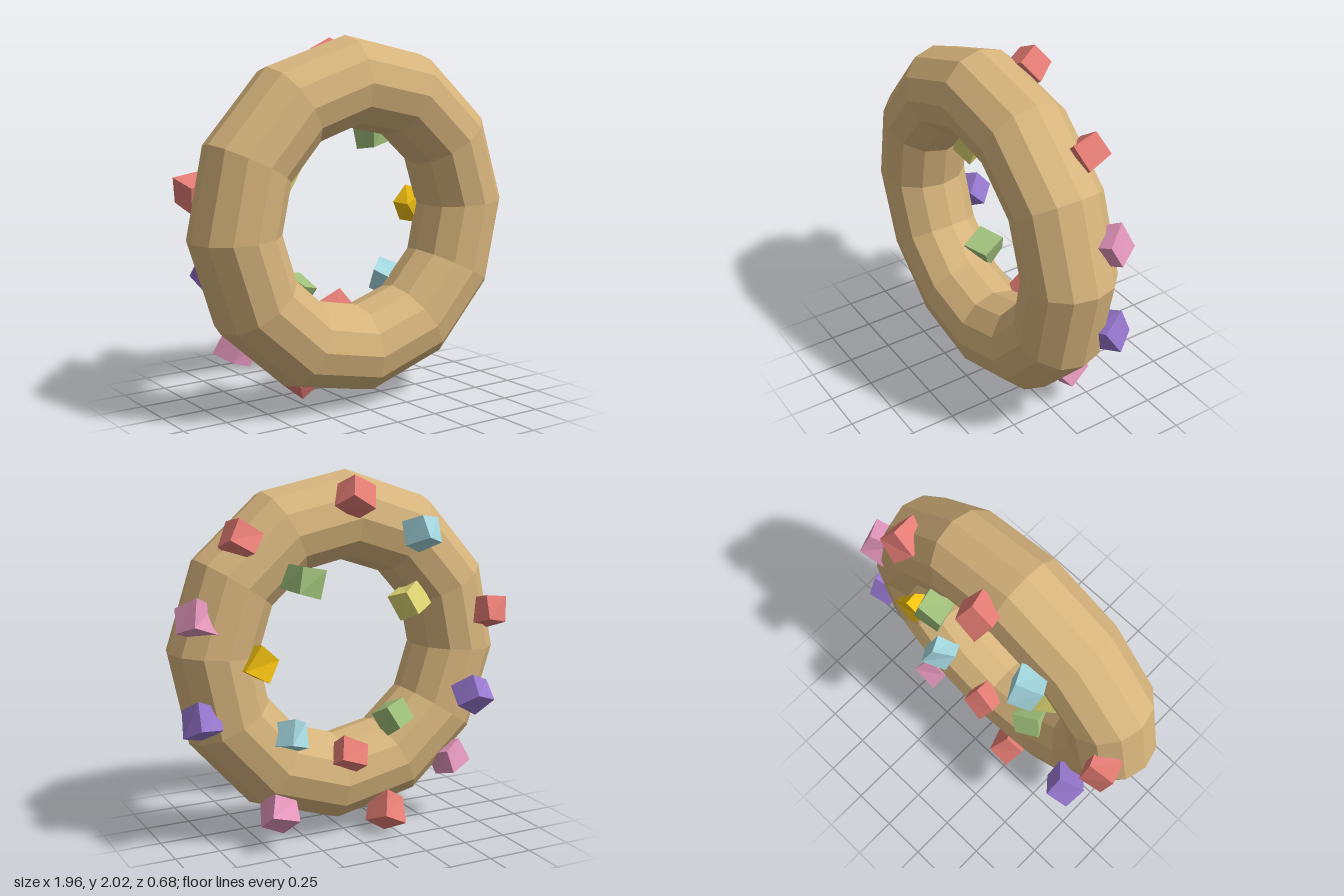
import * as THREE from 'three';

const COLORS = {
  dough: 0xd6b47c, red: 0xe47c74, pink: 0xe296bb, green: 0x9fc07a,
  cyan: 0xa4d8e0, yellow: 0xe2da74, gold: 0xf2c010, purple: 0x9878d0,
};
const materials = {};
for (const [name, color] of Object.entries(COLORS)) {
  materials[name] = new THREE.MeshStandardMaterial({ color, flatShading: true });
}

// Repeatable value from -1 to 1
let seed = 11;
function wobble() {
  seed = (seed * 16807) % 2147483647;
  return (seed / 2147483647) * 2 - 1;
}

// Slightly uneven cube: every corner is nudged, shared by its three faces
function sprinkleGeometry(size) {
  const geo = new THREE.BoxGeometry(size, size, size);
  const pos = geo.attributes.position;
  const nudges = Array.from({ length: 8 }, () => [wobble(), wobble(), wobble()]);
  for (let i = 0; i < pos.count; i++) {
    const x = pos.getX(i), y = pos.getY(i), z = pos.getZ(i);
    const n = nudges[(x > 0 ? 1 : 0) + (y > 0 ? 2 : 0) + (z > 0 ? 4 : 0)];
    pos.setXYZ(i, x + n[0] * 0.012, y + n[1] * 0.012, z + n[2] * 0.012);
  }
  geo.computeVertexNormals();
  return geo;
}

// Colour, position, rotation
const SPRINKLES = [
  ['red', [0.01, 1.88, -0.16], [0.5, 0.3, 0.4]],
  ['red', [0.63, 1.68, -0.08], [0.35, 0.15, 0.6]],
  ['cyan', [-0.37, 1.67, -0.21], [0.45, 0.5, 0.1]],
  ['green', [0.32, 1.46, -0.18], [0.05, 0.2, 0.25]],
  ['yellow', [-0.39, 1.28, -0.05], [0.3, 0.3, -0.55]],
  ['pink', [0.87, 1.28, -0.06], [0.4, 0.5, 0.2]],
  ['red', [-0.84, 1.2, -0.15], [0.3, 0.25, 0.1]],
  ['gold', [0.55, 1.03, -0.11], [0.1, 0.1, 0.6]],
  ['purple', [0.86, 0.75, -0.09], [0.45, 0.4, 0.1]],
  ['purple', [-0.7, 0.75, -0.24], [0.7, 0.5, 0.1]],
  ['cyan', [0.38, 0.62, -0.12], [0.3, 0.6, 0.3]],
  ['green', [-0.28, 0.62, -0.06], [0.5, 0.3, -0.4]],
  ['red', [0.03, 0.46, -0.13], [0.5, 0.2, 0.35]],
  ['pink', [-0.63, 0.35, -0.1], [0.3, 0.3, -0.4]],
  ['pink', [0.45, 0.2, -0.13], [0.6, 0.2, 0.3]],
  ['red', [-0.2, 0.11, -0.14], [0.55, 0.3, 0.4]],
];

export function createModel() {
  const model = new THREE.Group();
  model.name = 'sprinkledRing';

  // Faceted ring
  const ring = new THREE.Mesh(new THREE.TorusGeometry(0.735, 0.245, 12, 12), materials.dough);
  ring.name = 'ring';
  ring.position.set(0, 1.025, 0.083);
  ring.rotation.set(0.01, 0, 0.06);
  model.add(ring);

  // Chunky sprinkles on the back half
  const sprinkles = new THREE.Group();
  sprinkles.name = 'sprinkles';
  SPRINKLES.forEach(([color, position, rotation], i) => {
    const cube = new THREE.Mesh(sprinkleGeometry(0.145), materials[color]);
    cube.name = `${color}Sprinkle${i + 1}`;
    cube.position.set(...position);
    cube.rotation.set(...rotation);
    sprinkles.add(cube);
  });
  model.add(sprinkles);
  return model;
}
